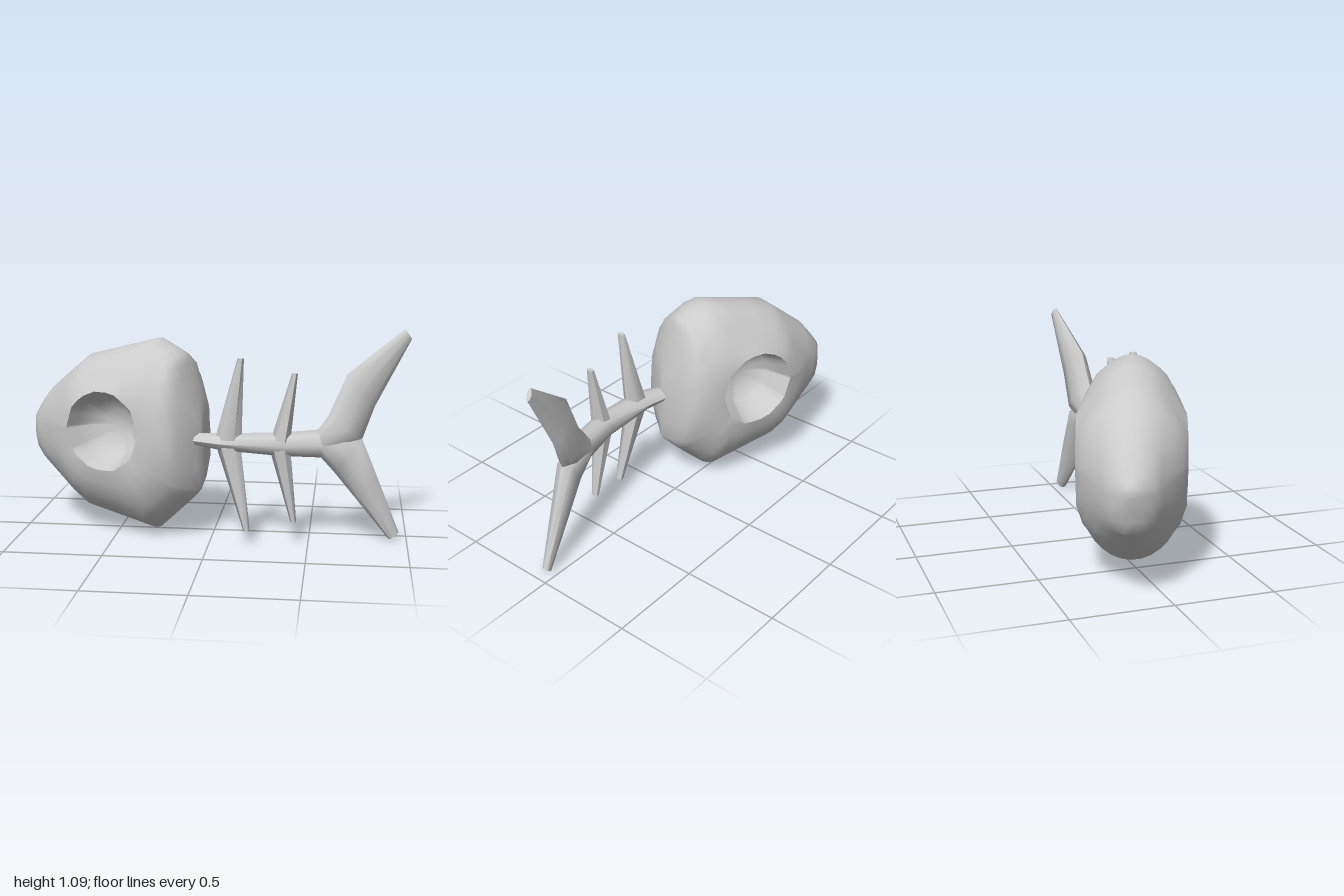
import * as THREE from 'three';
import { toCreasedNormals } from 'three/addons/utils/BufferGeometryUtils.js';

const material = new THREE.MeshStandardMaterial({ color: 0xcccccc });

// Skins a list of equally long closed rings of Vector3
function skin(rings, flip = false) {
  const n = rings[0].length, pos = [];
  const tri = (a, b, c) => {
    const area = b.clone().sub(a).cross(c.clone().sub(a)).length();
    if (area > 1e-9) for (const p of flip ? [a, c, b] : [a, b, c]) pos.push(p.x, p.y, p.z);
  };
  for (let i = 0; i < rings.length - 1; i++) {
    for (let j = 0; j < n; j++) {
      const k = (j + 1) % n;
      tri(rings[i][j], rings[i][k], rings[i + 1][k]);
      tri(rings[i][j], rings[i + 1][k], rings[i + 1][j]);
    }
  }
  return pos;
}

function mesh(name, pos, crease) {
  const geo = new THREE.BufferGeometry();
  geo.setAttribute('position', new THREE.Float32BufferAttribute(pos, 3));
  const m = new THREE.Mesh(toCreasedNormals(geo, crease), material);
  m.name = name;
  return m;
}

// Bone through sections [x1, y1, x2, y2, z, half thickness], with closed ends;
// slope turns each section's z with x
function bone(name, sections, sides = 8, slope = 0) {
  const centre = s => new THREE.Vector3((s[0] + s[2]) / 2, (s[1] + s[3]) / 2, s[4]);
  const first = centre(sections[0]), last = centre(sections.at(-1));
  const dir = last.clone().sub(first);
  const rings = sections.map(s => {
    const c = centre(s);
    const a = new THREE.Vector3(s[0] - s[2], s[1] - s[3], slope * (s[0] - s[2])).multiplyScalar(0.5);
    const b = new THREE.Vector3(0, 0, s[5]);
    if (a.clone().cross(b).dot(dir) < 0) b.negate();
    return Array.from({ length: sides }, (_, j) => {
      const t = j / sides * Math.PI * 2;
      return c.clone().addScaledVector(a, Math.cos(t)).addScaledVector(b, Math.sin(t));
    });
  });
  const cap = p => Array(sides).fill(p);
  return mesh(name, skin([cap(first), ...rings, cap(last)]), 1.0);
}

// Head sections from nose to neck: [along, top, bottom, half width]
const HEAD = [
  [-1.01, 0.57, 0.53, 0.02], [-0.95, 0.65, 0.345, 0.107], [-0.88, 0.735, 0.29, 0.147],
  [-0.64, 0.925, 0.11, 0.272], [-0.24, 1.03, 0.03, 0.278], [-0.1, 0.96, 0.16, 0.242],
  [-0.05, 0.79, 0.21, 0.215], [0, 0.6, 0.26, 0.03],
];

// Half width of the head at a point of its side outline
function headWidth(x, y) {
  let i = 0;
  while (i < HEAD.length - 2 && x > HEAD[i + 1][0]) i++;
  const t = THREE.MathUtils.clamp((x - HEAD[i][0]) / (HEAD[i + 1][0] - HEAD[i][0]), 0, 1);
  const [top, bottom, w] = [1, 2, 3].map(k => THREE.MathUtils.lerp(HEAD[i][k], HEAD[i + 1][k], t));
  const v = Math.min(1, Math.abs(2 * y - top - bottom) / (top - bottom));
  return w * Math.sqrt(1 - Math.pow(v, 2.2));
}

function makeHead() {
  // Side outline, clockwise, each edge split in three
  const corners = [...HEAD.map(s => [s[0], s[1]]), ...HEAD.map(s => [s[0], s[2]]).reverse()];
  const outline = [];
  corners.forEach((p, i) => {
    const q = corners[(i + 1) % corners.length];
    for (let k = 0; k < 3; k++) {
      outline.push(new THREE.Vector2(...p).lerp(new THREE.Vector2(...q), k / 3));
    }
  });
  // Ten-sided rim of the eye socket
  const eye = new THREE.Vector2(-0.435, 0.572), radius = 0.212, side = Math.PI / 5;
  const rim = outline.map(p => {
    const d = p.clone().sub(eye);
    const r = radius * Math.cos(side / 2) / Math.cos(d.angle() % side - side / 2);
    return d.setLength(r).add(eye);
  });
  const rings = [];
  // Eye socket bowl: [share of radius, half width of the head there]
  for (const [r, z] of [[0, 0.07], [0.4, 0.08], [0.7, 0.12], [0.88, 0.2]]) {
    rings.push(rim.map(p => {
      const q = eye.clone().lerp(p, r);
      return new THREE.Vector3(q.x, q.y, z);
    }));
  }
  // Skin from the flat socket rim out to the outline
  for (const t of [0, 0.25, 0.5, 0.7, 0.82, 0.92, 0.98, 1]) {
    rings.push(rim.map((p, i) => {
      const q = p.clone().lerp(outline[i], t);
      const w = THREE.MathUtils.lerp(headWidth(q.x, q.y), 0.264, Math.max(0, 1 - t / 0.35));
      return new THREE.Vector3(q.x, q.y, t === 1 ? 0 : w);
    }));
  }
  const mirrored = rings.map(r => r.map(p => new THREE.Vector3(p.x, p.y, -p.z)));
  const head = mesh('head', [...skin(rings), ...skin(mirrored, true)], 0.9);
  head.rotation.y = -Math.PI / 9;
  head.position.set(-0.05, 0, 0.136);
  return head;
}

export function createModel() {
  const model = new THREE.Group();
  model.add(makeHead());

  model.add(bone('spine', [
    [-0.1, 0.555, -0.1, 0.5, 0.14, 0.055], [0.06, 0.57, 0.06, 0.48, 0.187, 0.067],
    [0.35, 0.58, 0.35, 0.46, 0.187, 0.067], [0.57, 0.592, 0.57, 0.445, 0.135, 0.065],
  ]));

  // Ribs: base left, base right, tip left, tip right, base and tip height, tip z
  const ribs = [
    ['upperFrontRib', 0.025, 0.16, 0.14, 0.172, 0.54, 0.955, 0.222],
    ['lowerFrontRib', 0.03, 0.155, 0.175, 0.208, 0.51, 0.075, 0.233],
    ['upperRearRib', 0.305, 0.405, 0.408, 0.437, 0.54, 0.88, 0.19],
    ['lowerRearRib', 0.3, 0.405, 0.41, 0.44, 0.5, 0.12, 0.193],
  ];
  for (const [name, bl, br, tl, tr, by, ty, tz] of ribs) {
    model.add(bone(name, [[bl, by, br, by, 0.195, 0.055], [tl, ty, tr, ty, tz, 0.02]], 6));
  }

  // Forked tail, both fins growing from the end of the spine
  model.add(bone('upperTailFin', [
    [0.54, 0.592, 0.56, 0.445, 0.138, 0.065], [0.59, 0.66, 0.76, 0.53, 0.105, 0.062],
    [0.68, 0.87, 0.82, 0.7, 0.085, 0.05], [0.96, 1.09, 0.995, 1.04, 0.032, 0.014],
  ], 8, -0.3));
  model.add(bone('lowerTailFin', [
    [0.56, 0.442, 0.54, 0.592, 0.138, 0.065], [0.62, 0.375, 0.76, 0.54, 0.105, 0.062],
    [0.73, 0.235, 0.845, 0.33, 0.083, 0.048], [0.91, 0.005, 0.96, 0.04, 0.052, 0.025],
  ], 8, -0.3));
  return model;
}
